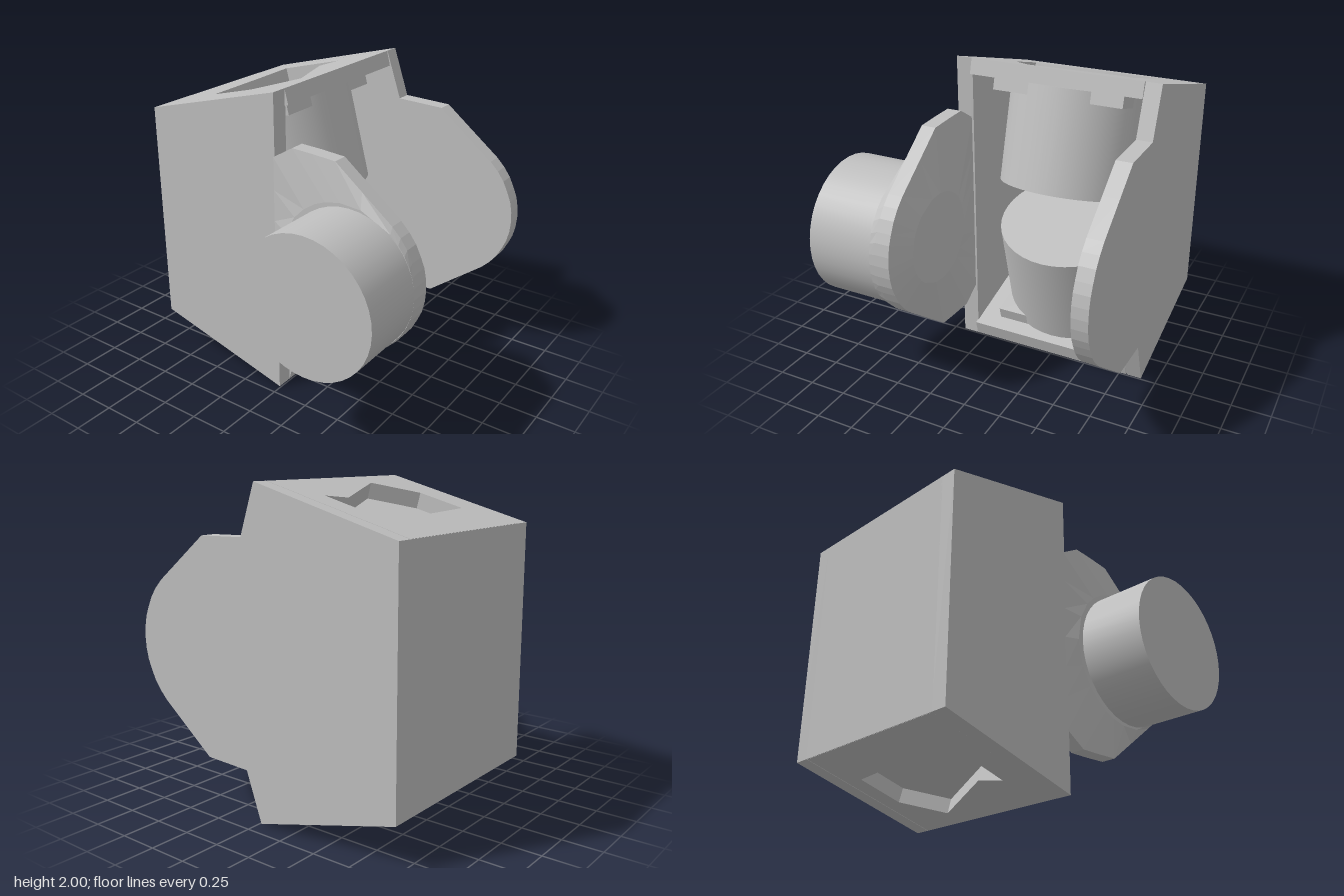
import * as THREE from 'three';

const CX = 0.235; // middle of the housing in x
const TILT = THREE.MathUtils.degToRad(15);
const metal = new THREE.MeshStandardMaterial({ color: 0xbfbfbf });
metal.name = 'plainGrey';

function add(parent, name, geometry) {
  const mesh = new THREE.Mesh(geometry, metal);
  mesh.name = name;
  parent.add(mesh);
  return mesh;
}

const shapeOf = (pts) => new THREE.Shape(pts.map((p) => new THREE.Vector2(...p)));

// Upper half of a (z, y) outline, completed by mirroring about y = 1
function mirrored(half) {
  const lower = half.filter((p) => p[1] !== 1).map(([z, y]) => [z, 2 - y]).reverse();
  return [...half, ...lower];
}

// Plate with a (z, y) outline whose outer face lies at x = xMax
function sidePlate(pts, xMax, depth) {
  const g = new THREE.ExtrudeGeometry(shapeOf(pts), { depth, bevelEnabled: false });
  return g.rotateY(-Math.PI / 2).translate(xMax, 0, 0);
}

// Faceted solid through rings of (x, y, z) points, closed at both ends
function loft(rings) {
  const pos = [];
  const tri = (...v) => v.forEach((p) => pos.push(...p));
  const n = rings[0].length;
  const centre = (r) => [r[0][0], 1, 0.5];
  const last = rings[rings.length - 1];
  for (let i = 0; i < n; i++) {
    const j = (i + 1) % n;
    for (let k = 0; k < rings.length - 1; k++) {
      const a = rings[k], b = rings[k + 1];
      tri(a[i], b[i], b[j]);
      tri(a[i], b[j], a[j]);
    }
    tri(centre(rings[0]), rings[0][i], rings[0][j]);
    tri(centre(last), last[j], last[i]);
  }
  const g = new THREE.BufferGeometry();
  g.setAttribute('position', new THREE.Float32BufferAttribute(pos, 3));
  g.computeVertexNormals();
  return g;
}

// Sloping end slab with a recess, a pad below it and a round post
function endAssembly(name) {
  const pivot = new THREE.Group();
  pivot.name = name;
  const frame = new THREE.Group(); // x across, y back along the slope, z outward
  frame.position.set(0, 1, 0);
  frame.rotation.x = -Math.PI / 2 - TILT;
  pivot.add(frame);

  const slab = shapeOf([[-0.56, 0], [0.56, 0], [0.56, 1], [-0.56, 1]]);
  const hole = [[-0.435, 0.68], [0.06, 0.72], [0.405, 0.76], [0.405, 0.3],
    [0.27, 0.36], [-0.235, 0.13], [-0.435, 0.37]];
  slab.holes.push(new THREE.Path(hole.map((p) => new THREE.Vector2(...p))));
  add(frame, 'endSlab', new THREE.ExtrudeGeometry(slab, { depth: 0.1, bevelEnabled: false }))
    .position.z = -0.1;

  add(frame, 'postPad', new THREE.BoxGeometry(0.86, 0.68, 0.08)).position.set(-0.015, 0.45, -0.14);
  const post = new THREE.CylinderGeometry(0.48, 0.48, 0.66, 40).rotateX(Math.PI / 2);
  add(frame, 'post', post).position.set(0, 0.542, -0.436);
  return pivot;
}

export function createModel() {
  const model = new THREE.Group();
  model.name = 'bracketHousing';

  // Outline of the rounded tab, from its nose to its shoulder
  const nose = [[0.98, 1], [0.975, 1.07], [0.96, 1.14], [0.935, 1.2], [0.9, 1.27],
    [0.855, 1.33], [0.8, 1.385], [0.6, 1.54], [0.42, 1.68]];
  const wallBack = [[-0.01, 2], [-0.98, 1.74]];

  // Side walls: the left one carries the tab in one piece
  add(model, 'leftWallWithTab', sidePlate(mirrored([...nose, [0.1, 1.69], ...wallBack]), 0.9, 0.1));
  add(model, 'rightWall', sidePlate(mirrored(wallBack), -0.32, 0.11));
  add(model, 'backWall', new THREE.BoxGeometry(1.13, 1.48, 0.09)).position.set(CX, 1, -0.935);

  // Upper and lower ends with their tilted posts
  for (const [name, turn] of [['upperEnd', 0], ['lowerEnd', Math.PI]]) {
    const end = endAssembly(name);
    end.position.set(CX, 1, -0.01);
    end.rotation.z = turn;
    model.add(end);
  }

  // Lens-shaped right tab: flange ring, outline twice, small inner ring
  const outline = mirrored([...nose, [0.26, 1.69], [0.12, 1.695], [-0.02, 1.61],
    [-0.02, 1.4], [-0.02, 1.2], [-0.02, 1]]);
  const flat = (x) => outline.map(([z, y]) => [x, y, z]);
  const oval = (x, cz, rz, ry) => outline.map(([z, y]) => {
    const a = Math.atan2(y - 1, z - 0.48);
    return [x, 1 + ry * Math.sin(a), cz + rz * Math.cos(a)];
  });
  add(model, 'rightTab', loft([oval(-0.47, 0.52, 0.46, 0.46), flat(-0.43), flat(-0.335),
    oval(-0.285, 0.5, 0.3, 0.29)]));

  // Round side boss
  const boss = new THREE.CylinderGeometry(0.44, 0.44, 0.45, 40).rotateZ(Math.PI / 2);
  add(model, 'sideBoss', boss).position.set(-0.675, 1, 0.54);

  return model;
}
